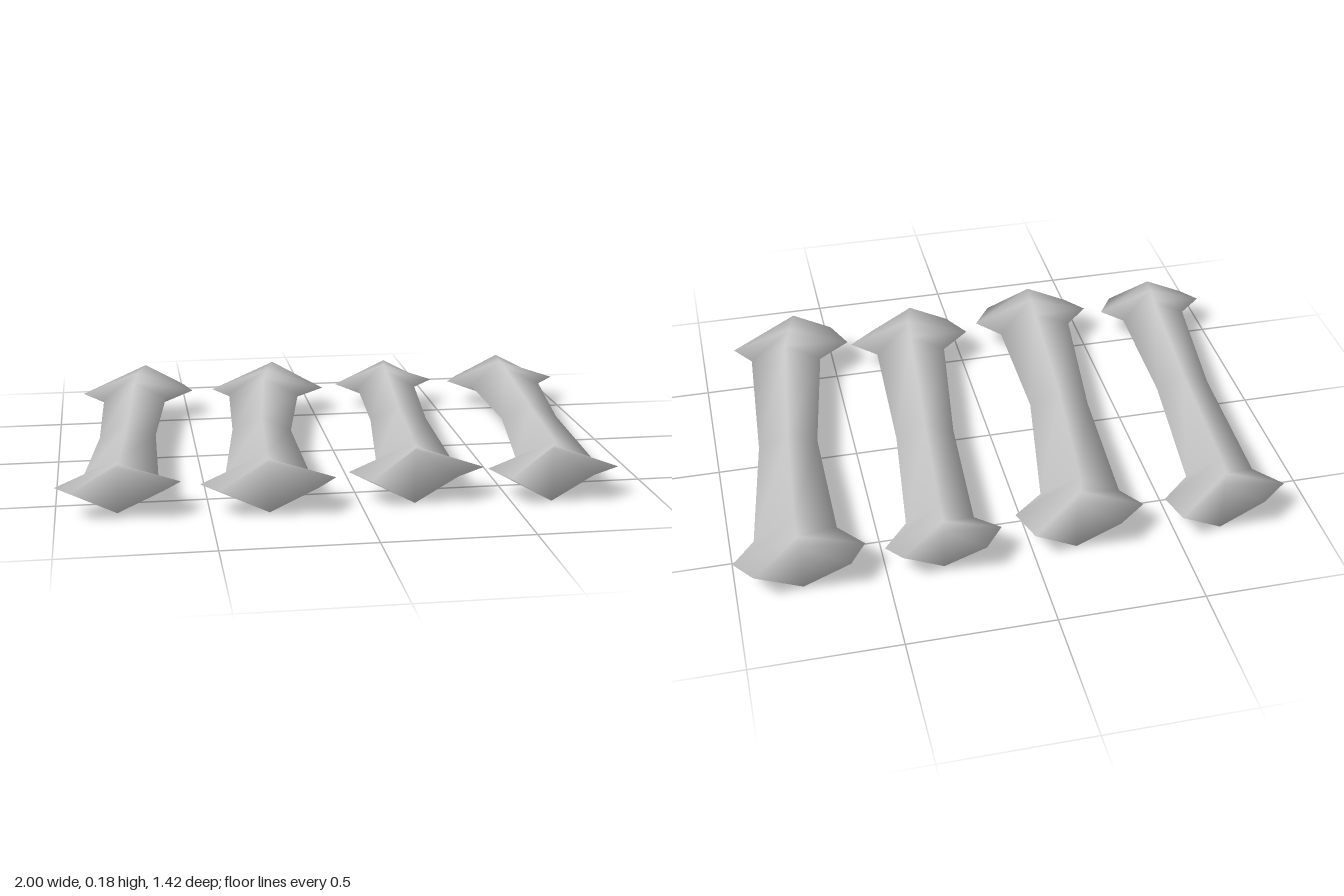
import * as THREE from 'three';

const MID_Y = 0.095; // height of the sharp side edges
const NOTCH = 0.02;  // how far the ridge ends sit in from the knob corners

// Each outline runs back to front: knob corners, knob sides, neck, waist,
// neck, knob sides, knob corners, as [left x, left z, right x, right z].
const BONES = [
  { back: 0.092, front: 0.077, outline: [
    [-0.81, -0.69, -0.51, -0.71], [-0.91, -0.61, -0.48, -0.60], [-0.83, -0.51, -0.59, -0.50],
    [-0.85, 0.03, -0.65, 0.02],
    [-0.91, 0.51, -0.66, 0.50], [-1.00, 0.59, -0.59, 0.58], [-0.95, 0.66, -0.65, 0.67]] },
  { back: 0.09, front: 0.085, outline: [
    [-0.30, -0.69, 0.00, -0.69], [-0.40, -0.61, 0.04, -0.57], [-0.34, -0.52, -0.07, -0.48],
    [-0.37, -0.01, -0.16, 0.03],
    [-0.44, 0.53, -0.16, 0.51], [-0.53, 0.62, -0.08, 0.61], [-0.47, 0.70, -0.15, 0.71]] },
  { back: 0.077, front: 0.092, outline: [
    [0.17, -0.71, 0.45, -0.70], [0.10, -0.62, 0.50, -0.64], [0.18, -0.55, 0.41, -0.53],
    [0.15, -0.06, 0.36, -0.06],
    [0.08, 0.46, 0.34, 0.48], [-0.03, 0.56, 0.43, 0.57], [0.03, 0.67, 0.33, 0.65]] },
  { back: 0.087, front: 0.092, outline: [
    [0.62, -0.69, 0.94, -0.69], [0.56, -0.60, 1.00, -0.61], [0.64, -0.50, 0.92, -0.51],
    [0.64, -0.01, 0.85, -0.01],
    [0.56, 0.50, 0.82, 0.54], [0.44, 0.59, 0.88, 0.63], [0.49, 0.71, 0.78, 0.70]] },
];

// Diamond cross-sections (left, top, right, bottom) joined along the length
function boneGeometry({ back, front, outline }) {
  const neck = 0.067, waist = 0.049;
  const heights = [back, (back + neck) / 2, neck, waist, neck, (front + neck) / 2, front];
  const last = outline.length - 1;
  const pos = [], index = [];

  outline.forEach(([lx, lz, rx, rz], i) => {
    const inset = i === 0 ? NOTCH : i === last ? -NOTCH : 0;
    const cx = (lx + rx) / 2, cz = (lz + rz) / 2 + inset, h = heights[i];
    pos.push(lx, MID_Y, lz, cx, MID_Y + h, cz, rx, MID_Y, rz, cx, MID_Y - h, cz);
  });

  for (let i = 0; i < last; i++) {
    for (let k = 0; k < 4; k++) {
      const a = i * 4 + k, b = i * 4 + (k + 1) % 4;
      index.push(a, a + 4, b, a + 4, b + 4, b);
    }
  }

  // End caps, folded inwards along the line from top to bottom
  const f = last * 4;
  index.push(0, 1, 3, 1, 2, 3);
  index.push(f, f + 3, f + 1, f + 1, f + 3, f + 2);

  const geometry = new THREE.BufferGeometry();
  geometry.setAttribute('position', new THREE.Float32BufferAttribute(pos, 3));
  geometry.setIndex(index);
  geometry.computeVertexNormals();
  return geometry;
}

export function createModel() {
  const group = new THREE.Group();
  group.name = 'boneRow';
  const material = new THREE.MeshStandardMaterial({ color: 0xcccccc });
  BONES.forEach((bone, i) => {
    const mesh = new THREE.Mesh(boneGeometry(bone), material);
    mesh.name = `bone${i + 1}`;
    group.add(mesh);
  });
  return group;
}
